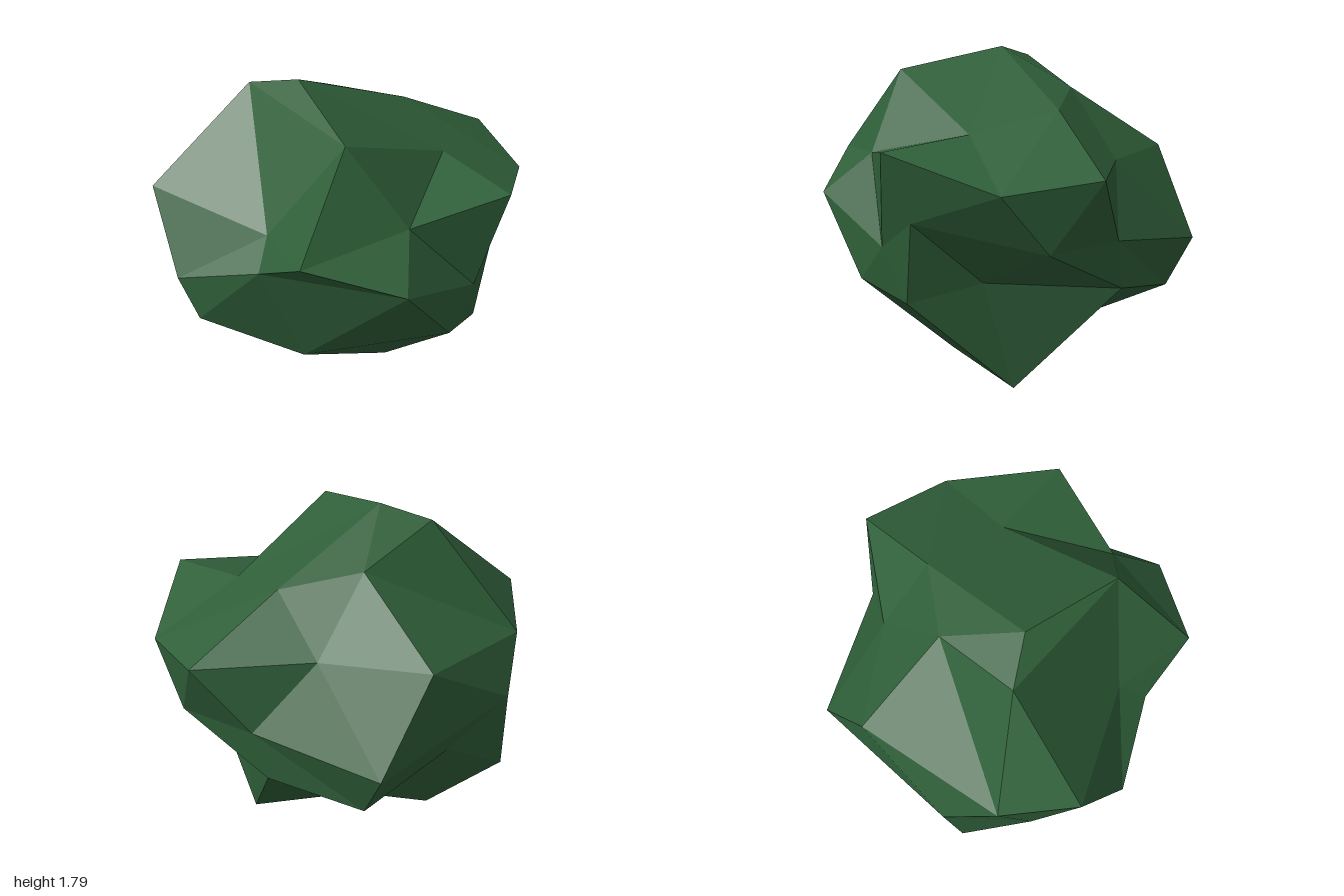
import * as THREE from 'three';
import { ConvexGeometry } from 'three/addons/geometries/ConvexGeometry.js';

const leafGreen = new THREE.MeshStandardMaterial({ color: 0x2f5f39 });
leafGreen.name = 'leaf green';
const barkBrown = new THREE.MeshStandardMaterial({ color: 0x4a3313 });
barkBrown.name = 'bark brown';

// Rings of the once-divided icosahedron, top to bottom:
// height on the unit sphere, first azimuth in degrees, then the sculpted points.
const RINGS = [
  [1, 0, [[-0.18, 1.8, 0.14]]],
  [0.851, 0, [[0.535, 1.39, -0.18], [0.28, 1.68, 0.51], [-0.47, 1.735, 0.16],
    [-0.243, 1.585, -0.297], [0.163, 1.505, -0.49]]],
  [0.526, 36, [[0.61, 1.25, 0.44], [-0.1, 1.14, 0.66], [-0.965, 1.12, 0.217],
    [-0.126, 1.22, -0.671], [0.842, 1.155, -0.612]]],
  [0.447, 0, [[1, 1.335, 0.02], [0.255, 1.2, 0.96], [-0.825, 1.24, 0.63],
    [-0.72, 1.23, -0.6], [0.457, 1.217, -0.965]]],
  [0, 18, [[0.87, 0.81, 0.14], [0.725, 1.02, 0.705], [-0.068, 1, 0.815],
    [-0.57, 0.83, 0.825], [-0.88, 0.81, 0.38], [-1, 0.875, -0.083],
    [-0.56, 0.745, -0.925], [0.163, 0.85, -0.87], [0.62, 0.84, -0.75],
    [0.88, 0.96, -0.067]]],
  [-0.447, 36, [[0.82, 0.6, 0.34], [-0.45, 0.6, 0.82], [-0.97, 0.395, 0],
    [-0.44, 0.48, -0.825], [0.55, 0.613, -0.28]]],
  [-0.526, 0, [[0.834, 0.515, 0.005], [0.07, 0.37, 0.593], [-0.65, 0.35, 0.35],
    [-0.755, 0.66, -0.376], [0.09, 0.577, -0.85]]],
  [-0.851, 36, [[0.34, 0.135, 0.1], [-0.27, 0.31, 0.495], [-0.59, 0.145, -0.17],
    [-0.25, 0.29, -0.43], [0.395, 0.005, -0.366]]],
  [-1, 0, [[0.03, 0.17, -0.02]]],
];

// Faceted crown: the regular ball gives the faces, each corner then moves to its sculpted place
function crownGeometry() {
  const ball = [], placed = [];
  for (const [y, start, points] of RINGS) {
    const r = Math.sqrt(1 - y * y);
    points.forEach((p, i) => {
      const a = THREE.MathUtils.degToRad(start + (360 / points.length) * i);
      ball.push(new THREE.Vector3(r * Math.cos(a), y, r * Math.sin(a)));
      placed.push(new THREE.Vector3(...p));
    });
  }
  const geo = new ConvexGeometry(ball);
  const pos = geo.attributes.position;
  const v = new THREE.Vector3();
  for (let i = 0; i < pos.count; i++) {
    v.fromBufferAttribute(pos, i);
    let best = 0;
    ball.forEach((b, k) => {
      if (b.distanceToSquared(v) < ball[best].distanceToSquared(v)) best = k;
    });
    pos.setXYZ(i, placed[best].x, placed[best].y, placed[best].z);
  }
  geo.computeVertexNormals(); // unshared corners keep every facet flat
  return geo;
}

export function createModel() {
  const tree = new THREE.Group();
  tree.name = 'lowPolyTree';

  const crown = new THREE.Mesh(crownGeometry(), leafGreen);
  crown.name = 'crown';
  tree.add(crown);

  // Short tapered trunk reaching into the crown
  const trunkGeo = new THREE.CylinderGeometry(0.045, 0.08, 0.5, 7).toNonIndexed();
  trunkGeo.computeVertexNormals();
  const trunk = new THREE.Mesh(trunkGeo, barkBrown);
  trunk.name = 'trunk';
  trunk.position.set(0, 0.265, 0.015);
  tree.add(trunk);

  return tree;
}
